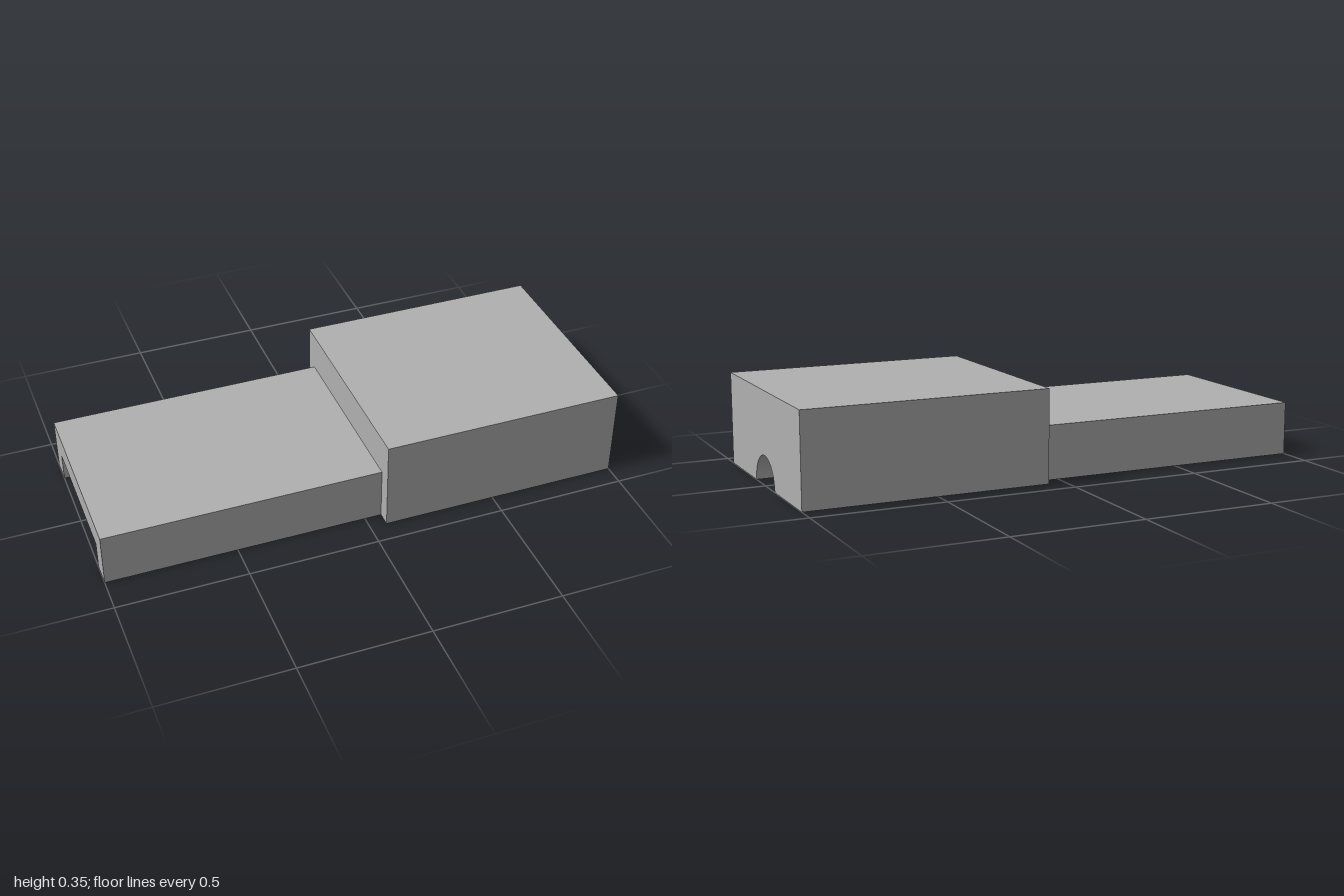
import * as THREE from 'three';
import { toCreasedNormals } from 'three/addons/utils/BufferGeometryUtils.js';

// main dimensions
const BLOCK_H = 0.352, BLOCK_W = 0.417;      // half width
const SLEEVE_H = 0.205, SLEEVE_W = 0.362;
const CHANNEL_H = 0.11, CHANNEL_W = 0.272;
const POCKET_H = 0.244, POCKET_W = 0.316;
const GROOVE_W = 0.18, CAP_Y = 0.2;

export function createModel() {
  const group = new THREE.Group();
  const grey = new THREE.MeshStandardMaterial({ color: 0xb0b0b0 });
  grey.name = 'plain grey';

  const add = (name, geometry) => {
    const mesh = new THREE.Mesh(geometry, grey);
    mesh.name = name;
    group.add(mesh);
    return mesh;
  };
  const box = (name, x0, x1, y0, y1, z0, z1) =>
    add(name, new THREE.BoxGeometry(x1 - x0, y1 - y0, z1 - z0))
      .position.set((x0 + x1) / 2, (y0 + y1) / 2, (z0 + z1) / 2);

  // sweeps a z-y section along x
  const alongX = (name, shape, x0, x1) => {
    const g = new THREE.ExtrudeGeometry(shape, { depth: x1 - x0, bevelEnabled: false, curveSegments: 32 });
    g.rotateY(Math.PI / 2).translate(x0, 0, 0);
    return add(name, toCreasedNormals(g, 0.5));
  };
  // upside-down U section
  const channel = (w, h, innerW, innerH) => new THREE.Shape([
    [-w, 0], [-innerW, 0], [-innerW, innerH], [innerW, innerH],
    [innerW, 0], [w, 0], [w, h], [-w, h],
  ].map(([a, b]) => new THREE.Vector2(a, b)));
  // rectangle with a half-round groove underneath
  const grooved = (r) => {
    const s = new THREE.Shape();
    s.moveTo(-GROOVE_W, 0);
    s.lineTo(-r, 0);
    s.absarc(0, 0, r, Math.PI, 0, true);
    s.lineTo(GROOVE_W, 0);
    s.lineTo(GROOVE_W, CAP_Y);
    s.lineTo(-GROOVE_W, CAP_Y);
    s.closePath();
    return s;
  };

  // low sleeve and hollow part of the tall housing
  alongX('sleeve', channel(SLEEVE_W, SLEEVE_H, CHANNEL_W, CHANNEL_H), -1, 0.065);
  alongX('housingNeck', channel(BLOCK_W, BLOCK_H, CHANNEL_W, CHANNEL_H), 0.065, 0.197);
  alongX('housingPocket', channel(BLOCK_W, BLOCK_H, POCKET_W, POCKET_H), 0.197, 0.69);

  // solid cable end: top slab, ribbed cable groove, side blocks with screw holes
  box('housingEndTop', 0.69, 1, CAP_Y, BLOCK_H, -BLOCK_W, BLOCK_W);
  const cuts = [0.69, 0.725, 0.755, 0.805, 0.835, 0.885, 0.915, 1];
  for (let i = 0; i < cuts.length - 1; i++) {
    const rib = i % 2 === 1;
    alongX(rib ? 'cableRib' : 'cableGroove', grooved(rib ? 0.09 : 0.112), cuts[i], cuts[i + 1]);
  }
  for (const side of [-1, 1]) {
    const a = side * GROOVE_W, b = side * BLOCK_W;
    const plan = new THREE.Shape();
    plan.moveTo(0.69, a);
    plan.lineTo(1, a);
    plan.lineTo(1, b);
    plan.lineTo(0.69, b);
    plan.closePath();
    const hole = new THREE.Path();
    hole.absarc(0.847, side * 0.266, 0.044, 0, Math.PI * 2, false);
    plan.holes.push(hole);
    const g = new THREE.ExtrudeGeometry(plan, { depth: CAP_Y, bevelEnabled: false, curveSegments: 24 });
    g.rotateX(-Math.PI / 2);
    add('screwBlock', toCreasedNormals(g, 0.5));

    // small retaining tab on the channel wall
    const z = [side * 0.233, side * CHANNEL_W].sort((p, q) => p - q);
    box('retainingTab', 0.09, 0.14, 0, 0.03, z[0], z[1]);
  }
  return group;
}
